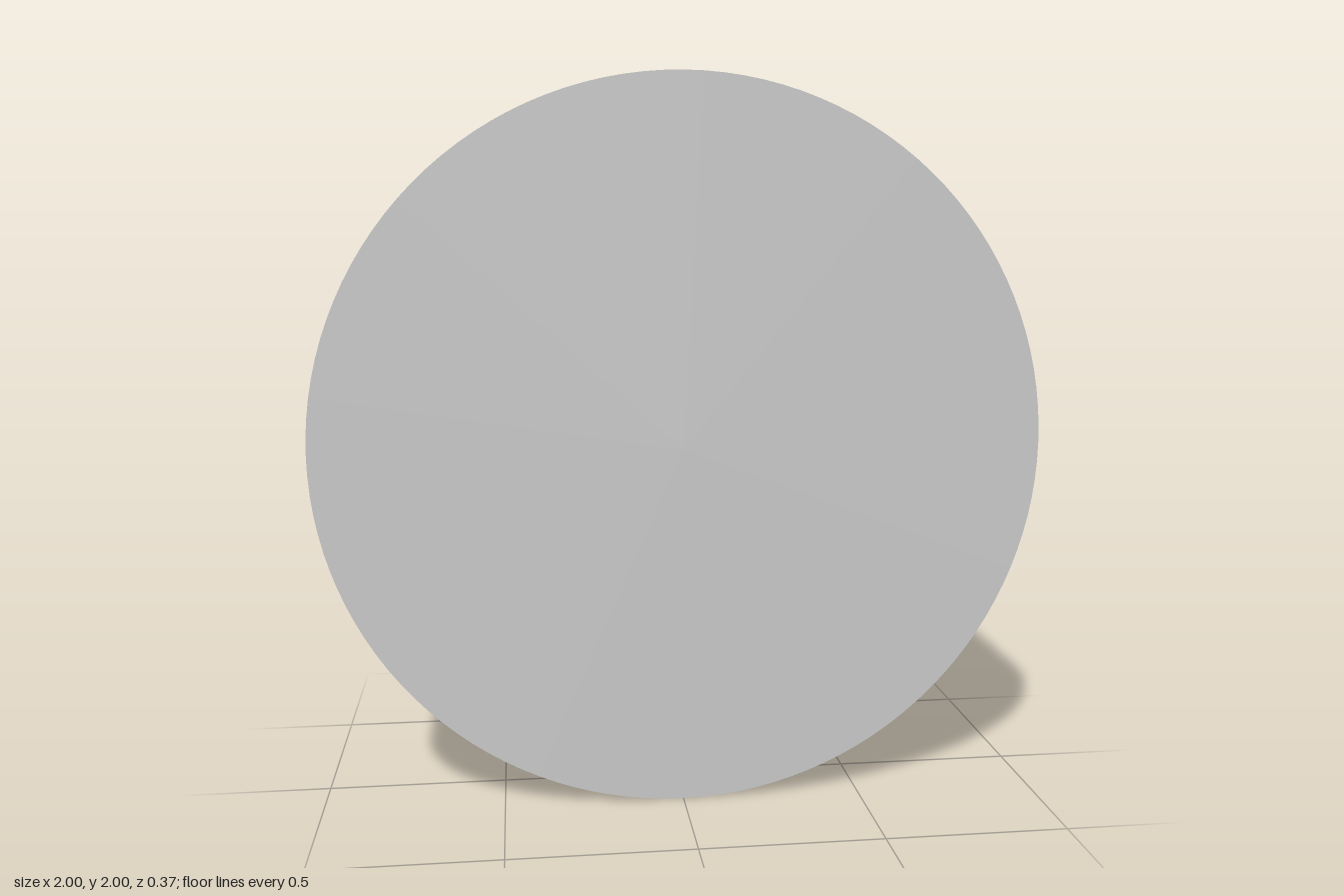
import * as THREE from 'three';

const HALF = 0.185;      // half thickness
const BEVEL = 0.012;     // bevel on the back rim
const CUT_START = 0.09;  // depth where the slanted flat begins
const CUT_X = 0.96;      // x of the flat at the back face

export function createModel() {
  const group = new THREE.Group();

  // Lathe profile from the back centre to the front centre
  const profile = [new THREE.Vector2(0, -HALF), new THREE.Vector2(1 - BEVEL, -HALF)];
  const rings = 24;
  for (let i = 0; i <= rings; i++) {
    profile.push(new THREE.Vector2(1, THREE.MathUtils.lerp(-HALF + BEVEL, HALF, i / rings)));
  }
  profile.push(new THREE.Vector2(0, HALF));

  const geometry = new THREE.LatheGeometry(profile, 120);
  geometry.rotateX(Math.PI / 2);

  // Slanted flat on the +x rim: press vertices back onto the cutting plane
  const slope = (1 - CUT_X) / (CUT_START + HALF);
  const p = geometry.attributes.position;
  for (let i = 0; i < p.count; i++) {
    const limit = 1 - slope * Math.max(0, CUT_START - p.getZ(i));
    p.setX(i, Math.min(p.getX(i), limit));
  }
  geometry.translate(0, 1, 0);
  geometry.computeVertexNormals();

  const disc = new THREE.Mesh(
    geometry,
    new THREE.MeshStandardMaterial({ color: 0xcccccc, flatShading: true })
  );
  disc.name = 'disc';
  group.add(disc);
  return group;
}
